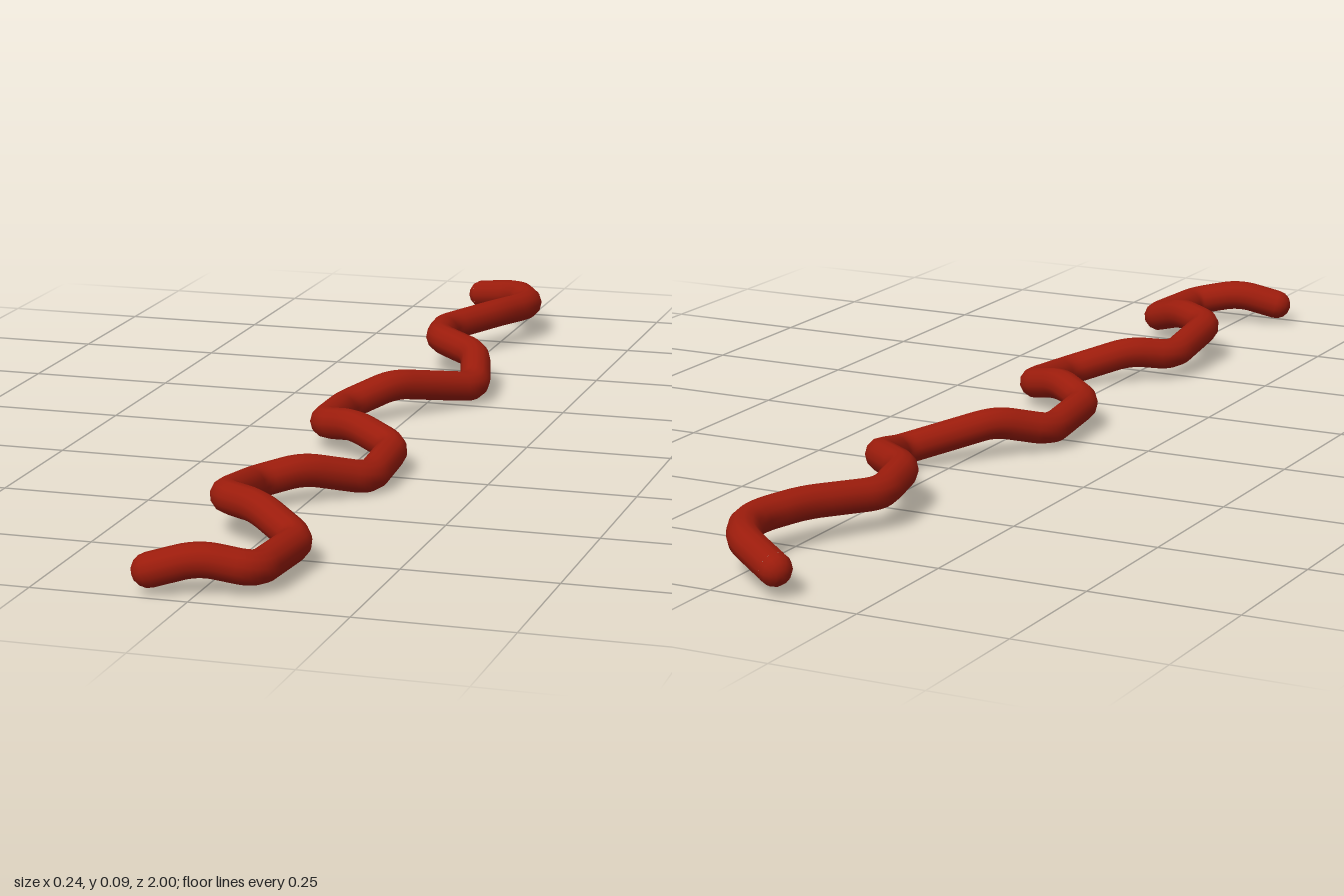
import * as THREE from 'three';

const RADIUS = 0.027;
const SIDES = 12;
const BEND = 0.03; // length of each leg used to round a corner

// Corner points of the wriggling centre line, back to front
const CORNERS = [
  [-0.098, 0.047, -0.976], [-0.01, 0.065, -0.92], [0.03, 0.065, -0.85],
  [0.03, 0.067, -0.8], [0, 0.07, -0.72], [-0.068, 0.063, -0.6],
  [-0.045, 0.071, -0.482], [0.047, 0.064, -0.403], [0.08, 0.035, -0.28],
  [-0.03, 0.065, -0.14], [-0.095, 0.04, -0.06], [-0.083, 0.05, 0.1],
  [-0.01, 0.064, 0.15], [0.075, 0.043, 0.2], [0.078, 0.031, 0.35],
  [-0.01, 0.06, 0.43], [-0.072, 0.048, 0.487], [-0.068, 0.07, 0.65],
  [0.01, 0.073, 0.705], [0.095, 0.043, 0.765], [0.083, 0.043, 0.93],
  [0, 0.061, 0.952], [-0.07, 0.042, 0.973],
].map((p) => new THREE.Vector3(...p));

// Straight runs joined by short rounded bends
function roundedPath(points) {
  const path = new THREE.CurvePath();
  let from = points[0];
  for (let i = 1; i < points.length - 1; i++) {
    const p = points[i];
    const toward = (q) => p.clone().lerp(q, Math.min(0.45, BEND / p.distanceTo(q)));
    const enter = toward(points[i - 1]);
    const leave = toward(points[i + 1]);
    path.add(new THREE.LineCurve3(from, enter));
    path.add(new THREE.QuadraticBezierCurve3(enter, p, leave));
    from = leave;
  }
  path.add(new THREE.LineCurve3(from, points[points.length - 1]));
  return path;
}

export function createModel() {
  const group = new THREE.Group();
  group.name = 'worm';
  const material = new THREE.MeshStandardMaterial({ color: 0x9c1c0c });
  const path = roundedPath(CORNERS);

  const body = new THREE.Mesh(new THREE.TubeGeometry(path, 320, RADIUS, SIDES, false), material);
  body.name = 'body';
  group.add(body);

  // Rounded ends, domes pointing outward along the path
  const dome = new THREE.SphereGeometry(RADIUS, SIDES, 4, 0, Math.PI * 2, 0, Math.PI / 2);
  const up = new THREE.Vector3(0, 1, 0);
  for (const [name, t, sign] of [['backEnd', 0, -1], ['frontEnd', 1, 1]]) {
    const end = new THREE.Mesh(dome, material);
    end.name = name;
    end.position.copy(path.getPointAt(t));
    end.quaternion.setFromUnitVectors(up, path.getTangentAt(t).multiplyScalar(sign));
    group.add(end);
  }
  return group;
}
